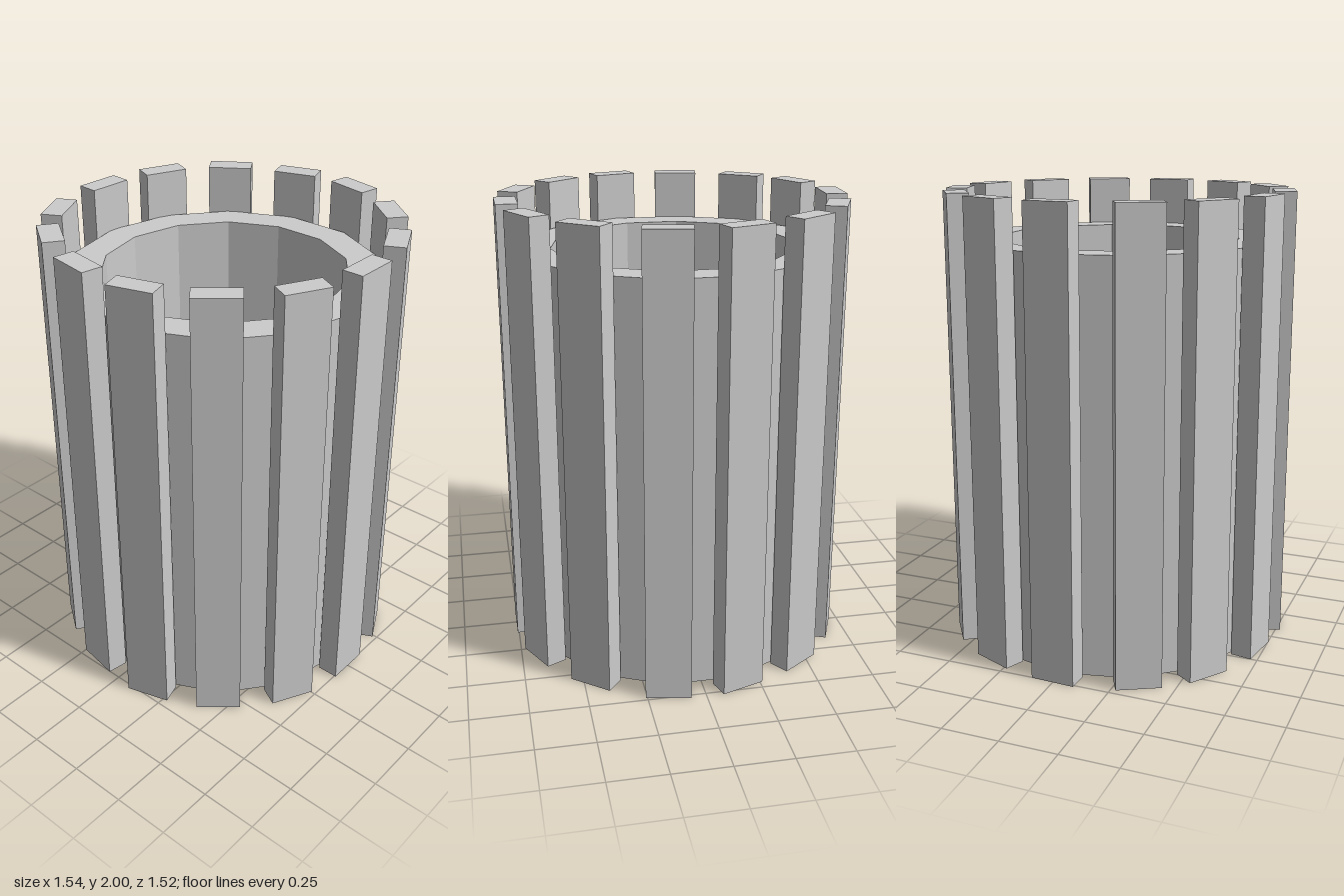
import * as THREE from 'three';

const grey = new THREE.MeshStandardMaterial({ color: 0xcccccc, flatShading: true });

export function createModel() {
  const group = new THREE.Group();

  // Fourteen-sided cup with a thick wall, open at the top
  const outer = 0.67, inner = 0.53, rim = 1.79, floor = 0.1;
  const profile = [
    [0, 0], [outer, 0], [outer, rim], [inner, rim], [inner, floor], [0, floor],
  ].map(([r, y]) => new THREE.Vector2(r, y));
  const cupGeometry = new THREE.LatheGeometry(profile, 14).toNonIndexed();
  cupGeometry.computeVertexNormals();
  const cup = new THREE.Mesh(cupGeometry, grey);
  cup.name = 'cup';
  group.add(cup);

  // Upright planks around the cup, slightly uneven: x, z, turn in degrees
  const planks = [
    [0, 0.71, 0], [0.306, 0.646, 27], [0.555, 0.447, 51], [0.707, 0.153, 79],
    [0.696, -0.153, 108.5], [0.56, -0.441, 124.5], [0.307, -0.639, 157], [0, -0.71, 177],
    [-0.336, -0.637, 208], [-0.559, -0.445, 235], [-0.69, -0.146, 260.5],
    [-0.698, 0.163, 287], [-0.559, 0.441, 310], [-0.311, 0.645, 333],
  ];
  const plankGeometry = new THREE.BoxGeometry(0.195, 2, 0.093);
  planks.forEach(([x, z, turn], i) => {
    const plank = new THREE.Mesh(plankGeometry, grey);
    plank.name = `plank${i + 1}`;
    plank.position.set(x, 1, z);
    plank.rotation.y = THREE.MathUtils.degToRad(turn);
    group.add(plank);
  });

  return group;
}
